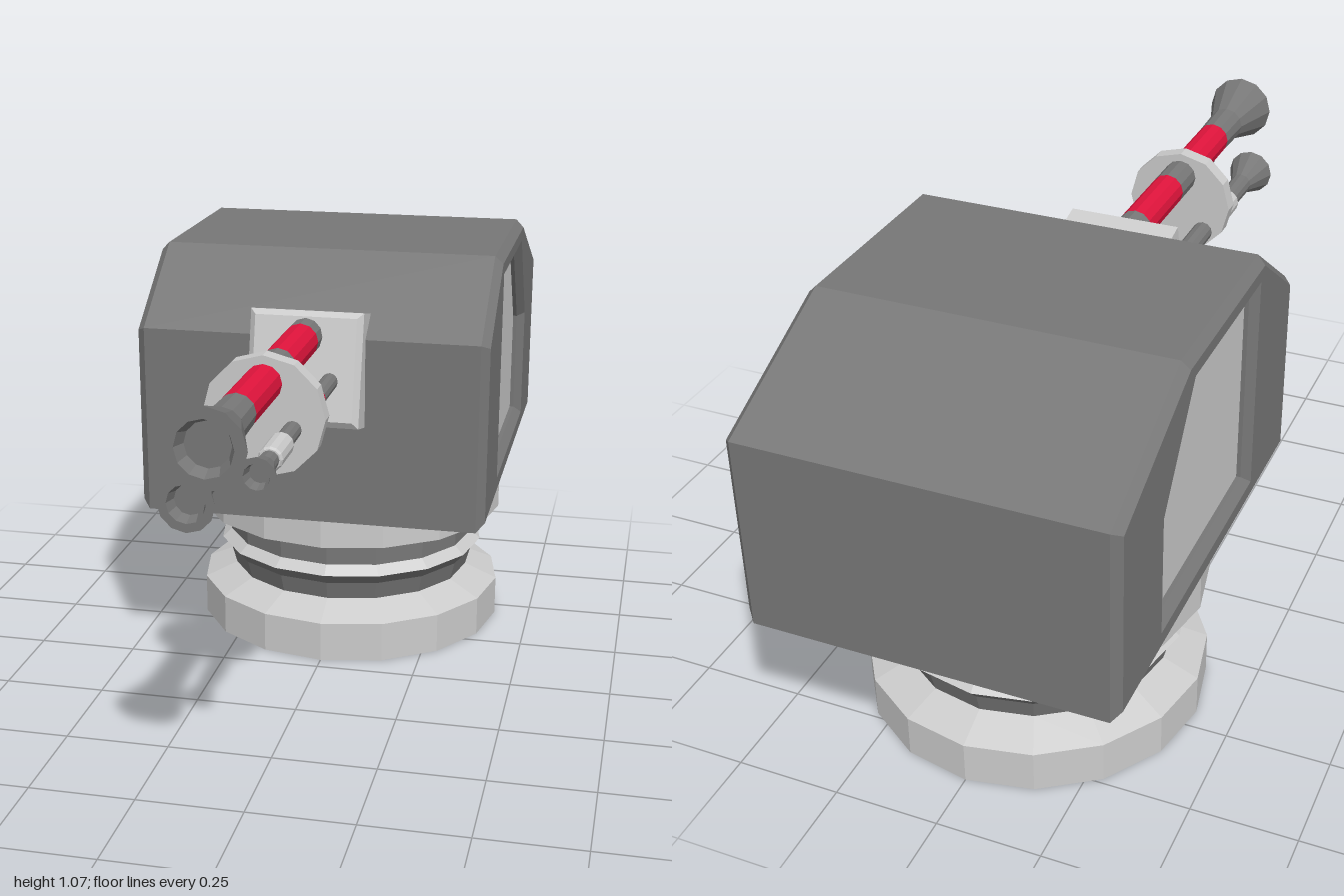
import * as THREE from 'three';

const mat = (color) => new THREE.MeshStandardMaterial({ color, flatShading: true, side: THREE.DoubleSide });

export function createModel() {
  const root = new THREE.Group();
  const light = mat(0xcccccc), dark = mat(0x777777), red = mat(0xe0143c);

  const add = (name, geometry, material, parent = root) => {
    const mesh = new THREE.Mesh(geometry, material);
    mesh.name = name;
    parent.add(mesh);
    return mesh;
  };
  const toPoints = (list) => list.map(([a, b]) => new THREE.Vector2(a, b));
  const lathe = (profile, sides) => new THREE.LatheGeometry(toPoints(profile), sides);

  // Extrusion centred on its depth, chamfered inside the given outline
  const chamfered = (shape, total, c) => new THREE.ExtrudeGeometry(shape, {
    depth: total - 2 * c, bevelThickness: c, bevelSize: c, bevelOffset: -c, bevelSegments: 1,
  }).translate(0, 0, c - total / 2);

  // Round base: stacked rings with a dark neck, open underneath
  const base = new THREE.Group();
  base.name = 'base';
  base.position.z = -0.448;
  root.add(base);
  const rings = [
    ['bottomRing', light, [[0.408, 0], [0.408, 0.103], [0.322, 0.14]]],
    ['lowerNeck', dark, [[0.322, 0.14], [0.335, 0.188], [0.36, 0.217]]],
    ['neckLip', light, [[0.36, 0.217], [0.335, 0.24]]],
    ['upperNeck', dark, [[0.335, 0.24], [0.335, 0.315]]],
    ['topRing', light, [[0.335, 0.315], [0.408, 0.315], [0.408, 0.445]]],
  ];
  for (const [name, material, profile] of rings) add(name, lathe(profile, 16), material, base);

  // Housing: side outline as (-z, y), with an opening for the side panels
  const outline = new THREE.Shape(toPoints([
    [-0.09, 0.437], [1, 0.437], [1, 0.9], [0.63, 1.068], [0.14, 1.068], [-0.09, 0.902],
  ]));
  const opening = toPoints([[0.19, 0.51], [0.19, 0.998], [0.585, 0.998], [0.745, 0.775], [0.745, 0.51]]);
  outline.holes.push(new THREE.Path(opening));
  add('housing', chamfered(outline, 0.86, 0.02).rotateY(Math.PI / 2), dark);

  // Recessed side panels
  for (const side of [-1, 1]) {
    const panel = new THREE.ExtrudeGeometry(new THREE.Shape(opening), { depth: 0.02, bevelEnabled: false });
    panel.translate(0, 0, -0.01).rotateY(Math.PI / 2);
    add(side > 0 ? 'leftPanel' : 'rightPanel', panel, light).position.x = side * 0.39;
  }

  // Tilted gun mount
  const square = new THREE.Shape(toPoints([[-0.136, -0.136], [0.136, -0.136], [0.136, 0.136], [-0.136, 0.136]]));
  const mount = add('gunMount', chamfered(square, 0.2, 0.014), light);
  mount.position.set(0, 0.818, 0.056);
  mount.rotation.x = -0.24;

  // Disc that holds the barrels together
  const brace = add('barrelBrace', new THREE.CylinderGeometry(0.136, 0.136, 0.04, 12).rotateX(Math.PI / 2), light);
  brace.position.set(0, 0.84, 0.52);

  // Barrels: tube radius, bands of [material, z start, z end], flared muzzle, optional sleeve
  const barrels = [
    { name: 'mainBarrel', x: 0, y: 0.915, r: 0.042, flare: [0.76, 0.87, 1], mouth: 0.086, bore: 0.06,
      bands: [[dark, 0.08, 0.18], [red, 0.18, 0.405], [dark, 0.405, 0.54], [red, 0.54, 0.76]] },
    { name: 'lowerBarrel', x: -0.066, y: 0.767, r: 0.026, flare: [0.72, 0.82, 0.908], mouth: 0.06, bore: 0.041,
      bands: [[dark, 0.08, 0.22], [red, 0.22, 0.347], [dark, 0.347, 0.72]], sleeve: [0.575, 0.705, 0.033] },
    { name: 'smallBarrel', x: 0.064, y: 0.815, r: 0.02, flare: [0.74, 0.785, 0.855], mouth: 0.042, bore: 0.028,
      bands: [[dark, 0.08, 0.295], [red, 0.295, 0.455], [dark, 0.455, 0.74]], sleeve: [0.635, 0.745, 0.027] },
  ];
  for (const b of barrels) {
    const group = new THREE.Group();
    group.name = b.name;
    group.position.set(b.x, b.y, 0);
    root.add(group);
    const turned = (name, profile, material) => add(name, lathe(profile, 12).rotateX(Math.PI / 2), material, group);
    for (const [material, z0, z1] of b.bands) turned('barrelBand', [[b.r, z0], [b.r, z1]], material);

    // Flared muzzle with a hollow bore
    const [z0, z1, z2] = b.flare;
    turned('muzzle', [
      [b.r, z0], [b.r * 1.08, z1], [b.mouth, z2], [b.bore, z2], [b.bore * 0.8, z2 - 0.03], [0, z2 - 0.03],
    ], dark);

    if (b.sleeve) {
      const [s0, s1, r] = b.sleeve;
      turned('sleeve', [
        [b.r, s0], [r - 0.004, s0], [r, s0 + 0.006], [r, s1 - 0.006], [r - 0.004, s1], [b.r, s1],
      ], light);
    }
  }
  return root;
}
